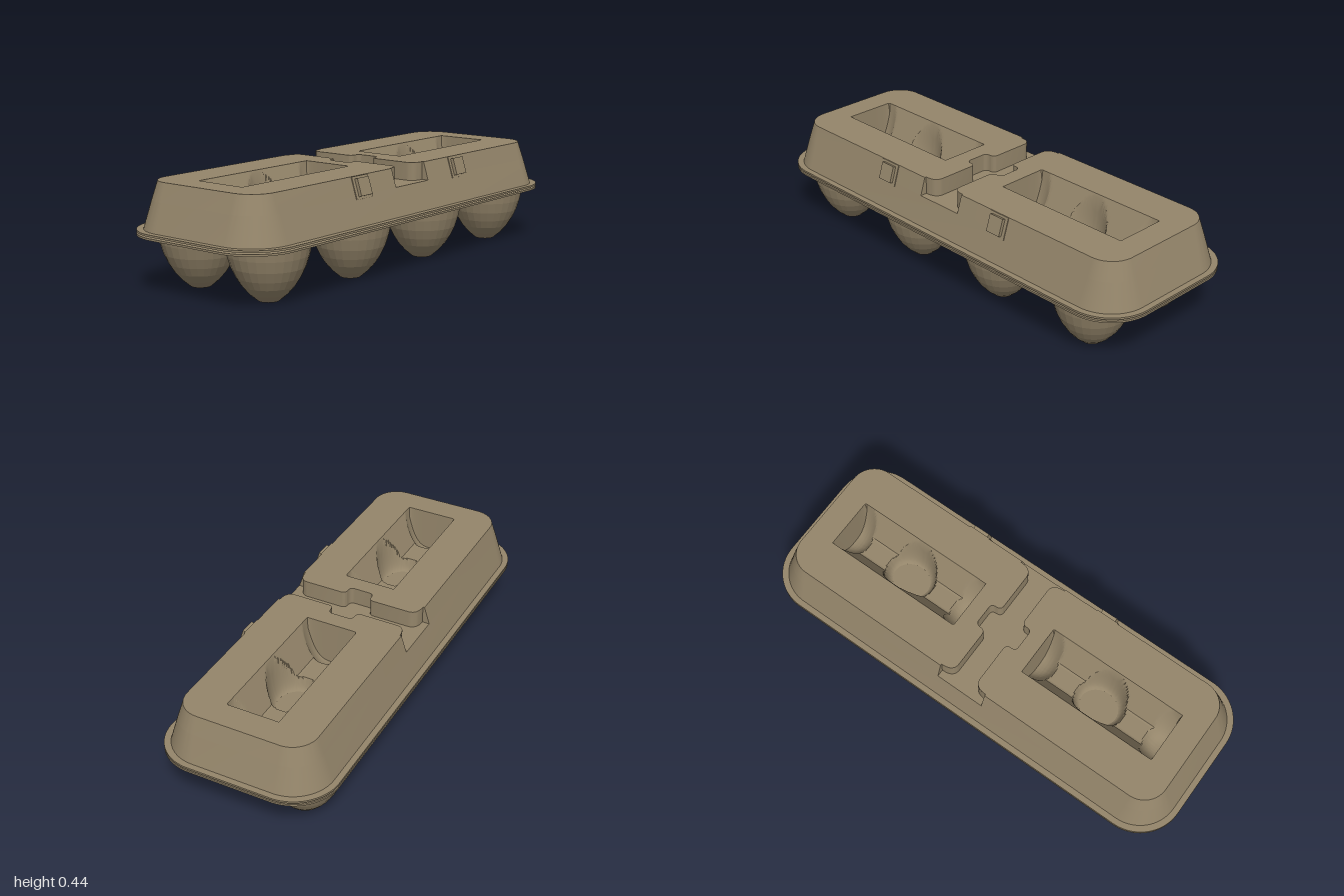
import * as THREE from 'three';
import { toCreasedNormals } from 'three/addons/utils/BufferGeometryUtils.js';

const pulp = new THREE.MeshStandardMaterial({ color: 0x94856a });
pulp.name = 'grey brown pulp';

function add(parent, name, geometry, x = 0, y = 0, z = 0) {
  const mesh = new THREE.Mesh(geometry, pulp);
  mesh.name = name;
  mesh.position.set(x, y, z);
  parent.add(mesh);
  return mesh;
}

// Rounded rectangle, counter-clockwise, drawn in x and -z
function roundedRect(hx, hz, r) {
  const s = new THREE.Shape();
  s.absarc(hx - r, hz - r, r, 0, Math.PI / 2);
  s.absarc(-hx + r, hz - r, r, Math.PI / 2, Math.PI);
  s.absarc(-hx + r, -hz + r, r, Math.PI, Math.PI * 1.5);
  s.absarc(hx - r, -hz + r, r, Math.PI * 1.5, Math.PI * 2);
  s.closePath();
  return s;
}

// One raised half of the lid, with the shaped middle gap on its inner side
function halfOutline(hx, hz, r) {
  const s = new THREE.Shape();
  s.absarc(hx - r, hz - r, r, 0, Math.PI / 2);
  s.lineTo(0.11, hz);
  s.lineTo(0.11, 0.277);
  s.quadraticCurveTo(0.053, 0.277, 0.053, 0.235);
  s.lineTo(0.053, 0.075);
  s.quadraticCurveTo(0.055, 0.055, 0.075, 0.055);
  s.quadraticCurveTo(0.1, 0.055, 0.1, 0.035);
  s.lineTo(0.1, -0.035);
  s.quadraticCurveTo(0.1, -0.055, 0.075, -0.055);
  s.quadraticCurveTo(0.055, -0.055, 0.053, -0.075);
  s.lineTo(0.053, -0.235);
  s.quadraticCurveTo(0.053, -0.277, 0.11, -0.277);
  s.lineTo(0.11, -hz);
  s.absarc(hx - r, -hz + r, r, Math.PI * 1.5, Math.PI * 2);
  s.closePath();
  return s;
}

// Walls joining two outlines with equal point counts
function loft(low, y0, high, y1) {
  const a = low.getPoints(10), b = high.getPoints(10), pos = [];
  for (let i = 0; i < a.length; i++) {
    const j = (i + 1) % a.length;
    const p = [a[i].x, y0, -a[i].y], q = [a[j].x, y0, -a[j].y];
    const t = [b[j].x, y1, -b[j].y], u = [b[i].x, y1, -b[i].y];
    pos.push(...p, ...q, ...t, ...p, ...t, ...u);
  }
  const g = new THREE.BufferGeometry();
  g.setAttribute('position', new THREE.Float32BufferAttribute(pos, 3));
  return toCreasedNormals(g, 0.5);
}

function cap(shape) {
  return new THREE.ShapeGeometry(shape, 10).rotateX(-Math.PI / 2);
}

function plate(shape, depth) {
  return new THREE.ExtrudeGeometry(shape, { depth, bevelEnabled: false, curveSegments: 10 }).rotateX(-Math.PI / 2);
}

// Sunken trough: sloping sides, a deep round well in the middle and half wells at the ends
const TOP = 0.435, WX = 0.315, WZ = 0.113;
function troughHeight(x, z) {
  if (Math.abs(x) > WX - 0.001 || Math.abs(z) > WZ - 0.001) return TOP;
  const side = 0.3 + Math.max(0, (Math.abs(z) - 0.045) / (WZ - 0.045)) * (TOP - 0.3);
  const well = 0.242 + 0.19 * Math.hypot(x / 0.125, z / 0.108) ** 10;
  const end = 0.25 + 0.14 * Math.hypot((Math.abs(x) - WX) / 0.125, z / 0.108) ** 3;
  return Math.min(side, well, end, TOP);
}
function troughGeometry() {
  const g = new THREE.PlaneGeometry(2 * WX, 2 * WZ, 100, 44).rotateX(-Math.PI / 2);
  const p = g.attributes.position;
  for (let i = 0; i < p.count; i++) p.setY(i, troughHeight(p.getX(i), p.getZ(i)));
  return toCreasedNormals(g, 0.5);
}

export function createModel() {
  const model = new THREE.Group();
  model.name = 'eggCarton';

  // Tray rim, lid rim and the small posts between them
  const rim = roundedRect(1, 0.37, 0.19);
  add(model, 'trayRim', plate(rim, 0.008), 0, 0.224, 0);
  add(model, 'lidRim', plate(rim, 0.008), 0, 0.238, 0);
  for (const x of [-0.49, 0, 0.49]) {
    add(model, 'rimPost', new THREE.CylinderGeometry(0.047, 0.047, 0.008, 4), x, 0.235, 0);
  }

  // Eight egg cups
  const profile = [[0, 0.004], [0.038, 0], [0.042, 0], [0.075, 0.028], [0.103, 0.06], [0.125, 0.095],
    [0.144, 0.135], [0.158, 0.18], [0.167, 0.226]].map(([r, y]) => new THREE.Vector2(r, y));
  const cup = new THREE.LatheGeometry(profile, 28).toNonIndexed();
  cup.computeVertexNormals();
  for (const x of [-0.735, -0.245, 0.245, 0.735]) {
    for (const z of [-0.18, 0.18]) add(model, 'eggCup', cup, x, 0, z);
  }

  // Lower lid with the floor of the middle gap
  const mid = [0.939, 0.308, 0.128], top = [0.915, 0.284, 0.105];
  const midRect = roundedRect(...mid);
  add(model, 'lidWall', loft(roundedRect(0.975, 0.345, 0.17), 0.246, midRect, 0.36));
  const floor = roundedRect(0.115, mid[1], 0.001);
  add(model, 'gapFloor', cap(floor), 0, 0.36, 0);

  // Two raised lid halves with sunken troughs
  const trough = troughGeometry();
  for (const turn of [0, Math.PI]) {
    const half = new THREE.Group();
    half.name = 'lidHalf';
    half.rotation.y = turn;
    const topShape = halfOutline(...top);
    add(half, 'upperWall', loft(halfOutline(...mid), 0.36, topShape, TOP));
    const hole = new THREE.Path();
    const cx = 0.487;
    hole.moveTo(cx - WX, -WZ);
    hole.lineTo(cx - WX, WZ);
    hole.lineTo(cx + WX, WZ);
    hole.lineTo(cx + WX, -WZ);
    hole.closePath();
    topShape.holes.push(hole);
    add(half, 'lidTop', cap(topShape), 0, TOP, 0);
    add(half, 'trough', trough, cx, 0, 0);
    add(half, 'wellDiamond', new THREE.CylinderGeometry(0.045, 0.045, 0.006, 4), cx, 0.243, 0);
    model.add(half);
  }

  // Front latches leaning with the wall
  for (const x of [-0.32, 0.33]) {
    const latch = new THREE.Group();
    latch.name = 'latch';
    latch.position.set(x, 0.39, 0.299);
    latch.rotation.x = -0.31;
    add(latch, 'latchFrame', new THREE.BoxGeometry(0.1, 0.092, 0.006));
    add(latch, 'latchTab', new THREE.BoxGeometry(0.07, 0.072, 0.022), 0, 0, 0.006);
    model.add(latch);
  }
  return model;
}
